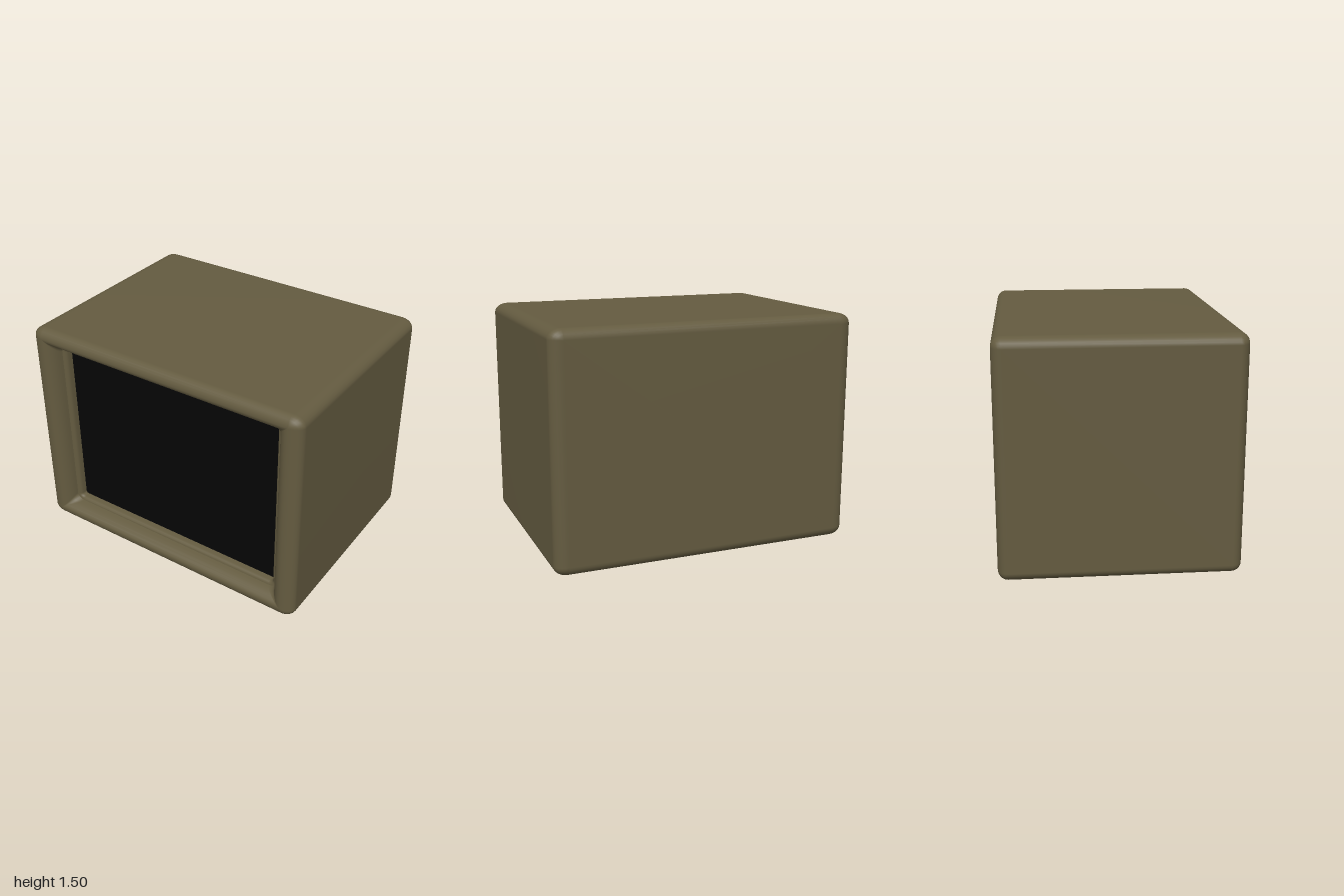
import * as THREE from 'three';

const STEPS = 6;
const ASPECT = 4 / 3;
const HALF = 0.75;

// Rounded square ring widened to 4:3, anticlockwise seen from +z: half height, corner radius, depth
function ring([h, r, z]) {
  const points = [];
  [[1, 1], [-1, 1], [-1, -1], [1, -1]].forEach(([sx, sy], corner) => {
    for (let k = 0; k <= STEPS; k++) {
      const a = (corner + k / STEPS) * Math.PI / 2;
      points.push(ASPECT * (sx * (h - r) + r * Math.cos(a)), sy * (h - r) + r * Math.sin(a), z);
    }
  });
  return points;
}

// Skin joining successive rings; a repeated ring makes a sharp edge
function loft(rings) {
  const n = 4 * (STEPS + 1);
  const index = [];
  for (let i = 0; i < rings.length - 1; i++) {
    for (let j = 0; j < n; j++) {
      const k = (j + 1) % n;
      const a = i * n + j, b = i * n + k, c = b + n, d = a + n;
      index.push(a, b, c, a, c, d);
    }
  }
  const geometry = new THREE.BufferGeometry();
  geometry.setAttribute('position', new THREE.Float32BufferAttribute(rings.flatMap(ring), 3));
  geometry.setIndex(index);
  geometry.computeVertexNormals();
  return geometry;
}

function addPart(group, name, geometry, color) {
  const mesh = new THREE.Mesh(geometry, new THREE.MeshStandardMaterial({ color }));
  mesh.name = name;
  mesh.position.y = HALF;
  group.add(mesh);
}

export function createModel() {
  const group = new THREE.Group();
  group.name = 'monitor';

  // Casing: flat back and rounded edges
  const R = 0.064;
  const rings = [[0, 0, -HALF]];
  for (const side of [-1, 1]) {
    for (let k = 0; k <= STEPS; k++) {
      const t = (side < 0 ? 1 - k / STEPS : k / STEPS) * Math.PI / 2;
      const inset = R * (1 - Math.cos(t));
      rings.push([HALF - inset, Math.max(R - inset, 0.002), side * (HALF - R + R * Math.sin(t))]);
    }
  }
  // Bezel curving into the recess, then a stepped lip around the screen
  rings.push(
    [0.672, 0.003, 0.748],
    [0.657, 0.008, 0.738],
    [0.642, 0.02, 0.718],
    [0.631, 0.032, 0.695],
    [0.625, 0.04, 0.672],
    [0.622, 0.042, 0.658],
    [0.622, 0.042, 0.658],
    [0.612, 0.034, 0.656],
    [0.603, 0.025, 0.648],
    [0.598, 0.02, 0.634],
    [0.596, 0.015, 0.6]
  );
  addPart(group, 'casing', loft(rings), 0x645b40);

  // Flat dark screen set at the bottom of the recess
  addPart(group, 'screen', loft([[0.6, 0.015, 0.605], [0, 0, 0.605]]), 0x060606);

  return group;
}
